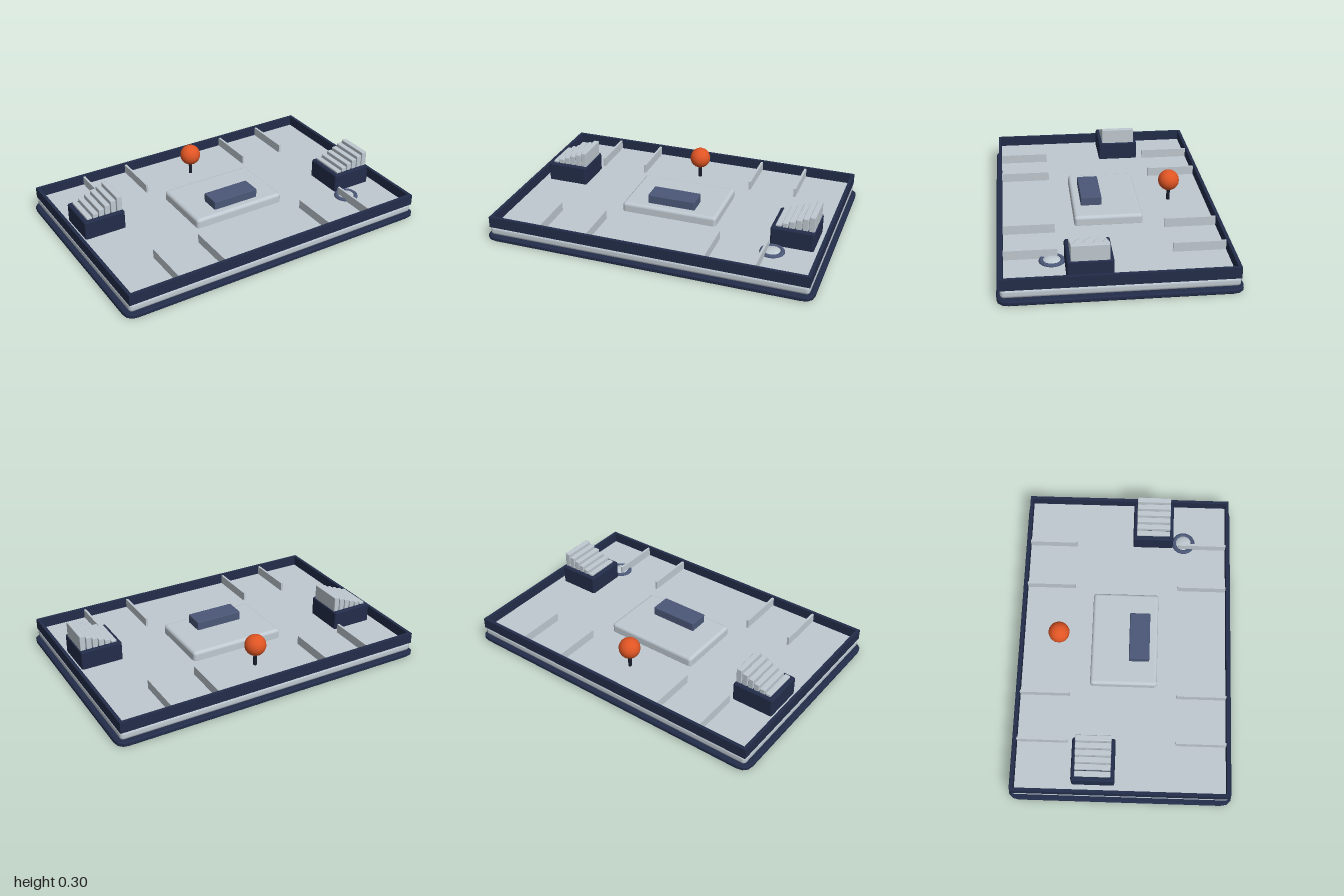
import * as THREE from 'three';
import { RoundedBoxGeometry } from 'three/addons/geometries/RoundedBoxGeometry.js';

export function createModel() {
  const model = new THREE.Group();
  model.name = 'consoleTray';
  const material = (name, color) => {
    const m = new THREE.MeshStandardMaterial({ color });
    m.name = name;
    return m;
  };
  const navy = material('navy', 0x232d4a);
  const silver = material('silver', 0xbfc9d1);
  const slate = material('slate', 0x4b5878);
  const orange = material('orange', 0xe05524);
  const black = material('blackBlue', 0x181d2c);

  const add = (name, geometry, mat, x = 0, y = 0, z = 0, parent = model) => {
    const mesh = new THREE.Mesh(geometry, mat);
    mesh.name = name;
    mesh.position.set(x, y, z);
    parent.add(mesh);
    return mesh;
  };
  const box = (w, h, d) => new THREE.BoxGeometry(w, h, d);
  const soft = (w, h, d, r, n = 3) => new RoundedBoxGeometry(w, h, d, n, r);

  // Base plate with rounded corners and a small bevel
  const bevel = 0.007, w = 1 - bevel, d = 0.67 - bevel, r = 0.06;
  const outline = new THREE.Shape();
  outline.moveTo(-w + r, -d);
  outline.lineTo(w - r, -d).quadraticCurveTo(w, -d, w, -d + r);
  outline.lineTo(w, d - r).quadraticCurveTo(w, d, w - r, d);
  outline.lineTo(-w + r, d).quadraticCurveTo(-w, d, -w, d - r);
  outline.lineTo(-w, -d + r).quadraticCurveTo(-w, -d, -w + r, -d);
  const plate = new THREE.ExtrudeGeometry(outline, {
    depth: 0.03 - 2 * bevel, bevelEnabled: true, bevelSize: bevel,
    bevelThickness: bevel, bevelSegments: 1, curveSegments: 3,
  });
  plate.rotateX(-Math.PI / 2);
  add('basePlate', plate, navy, 0, bevel, 0);

  // Silver body whose top is the floor
  add('body', soft(1.95, 0.058, 1.3, 0.022), silver, 0, 0.059, 0);

  // Rim walls
  for (const s of [-1, 1]) {
    add('longWall', box(1.95, 0.067, 0.02), navy, 0, 0.1165, s * 0.64);
    add('sideWall', box(0.02, 0.067, 1.26), navy, s * 0.965, 0.1165, 0);
  }

  // Low dividers standing against the long walls
  for (const x of [-0.655, -0.36, 0.36, 0.655])
    for (const s of [-1, 1])
      add('divider', box(0.014, 0.058, 0.305), silver, x, 0.115, s * 0.4785);

  // Raised centre pad and block
  add('centrePad', soft(0.6, 0.075, 0.41, 0.02), silver, 0, 0.1085, 0);
  add('centreBlock', soft(0.3, 0.06, 0.126, 0.006, 1), slate, 0, 0.17, 0.092);

  // Two trays of stepped cards
  for (const s of [-1, 1]) {
    const tray = new THREE.Group();
    tray.name = s < 0 ? 'rightCardTray' : 'leftCardTray';
    tray.position.set(s * 0.785, 0, s * 0.1625);
    model.add(tray);
    add('trayBox', soft(0.26, 0.125, 0.257, 0.012, 2), navy, 0, 0.1425, 0, tray);
    for (let i = 0; i < 6; i++) {
      const top = 0.217 + i * 0.016;
      add('card', soft(0.034, top - 0.15, 0.213, 0.004, 1), silver,
        -0.088 + i * 0.039, (top + 0.15) / 2, 0, tray);
    }
  }

  // Ball on a thin post
  add('post', new THREE.CylinderGeometry(0.011, 0.011, 0.1, 12), black, 0, 0.13, -0.405);
  add('ball', new THREE.SphereGeometry(0.065, 20, 14), orange, 0, 0.222, -0.405);

  // Round button: ring and shallow dome
  const ring = new THREE.TorusGeometry(0.06, 0.014, 10, 32);
  ring.rotateX(Math.PI / 2);
  add('buttonRing', ring, slate, 0.69, 0.088, 0.36);
  const dome = new THREE.SphereGeometry(0.055, 24, 8, 0, Math.PI * 2, 0, Math.PI / 2);
  dome.scale(1, 0.4, 1);
  add('buttonDome', dome, silver, 0.69, 0.086, 0.36);

  return model;
}
